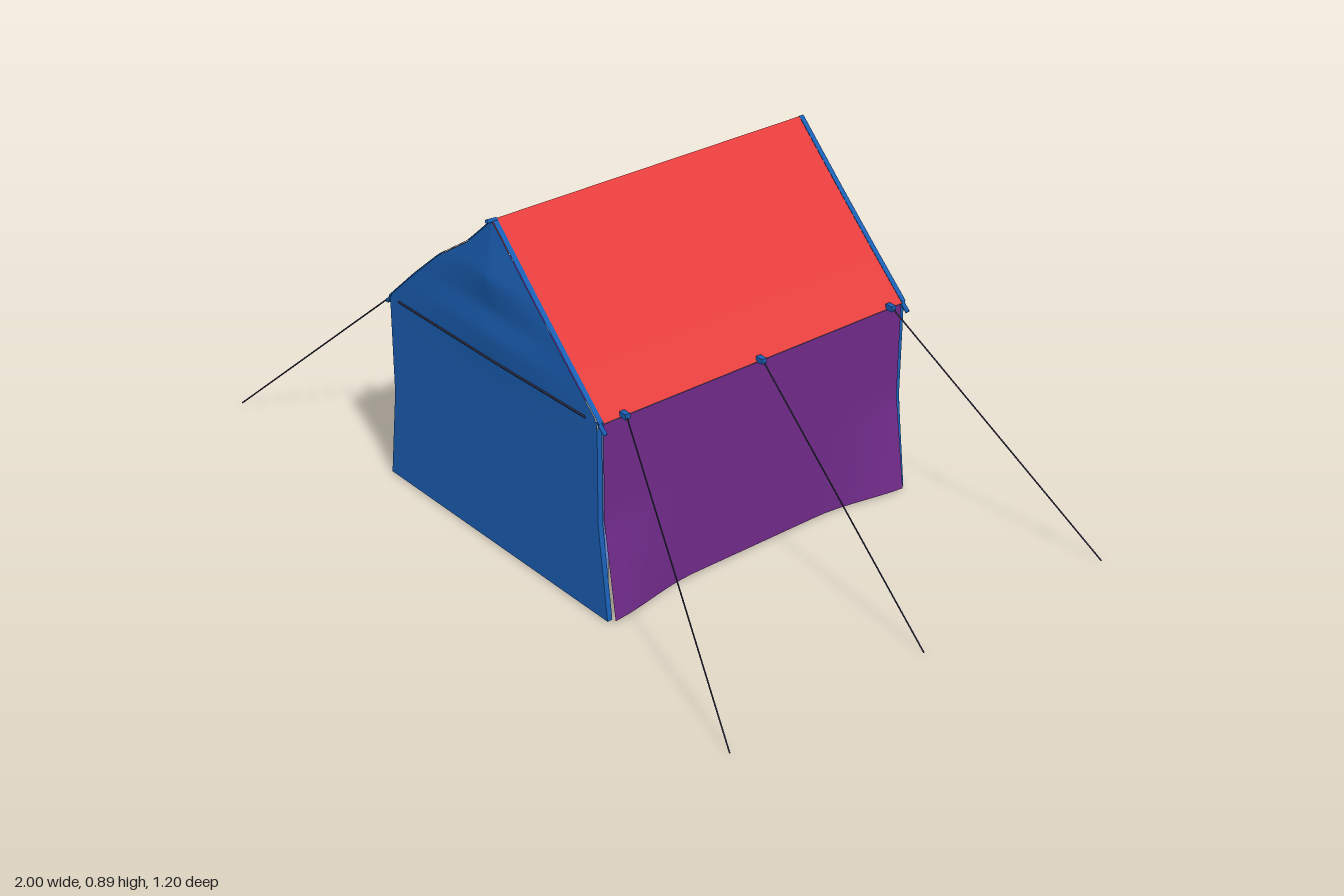
import * as THREE from 'three';
import { ParametricGeometry } from 'three/addons/geometries/ParametricGeometry.js';

const paint = (color) => new THREE.MeshStandardMaterial({ color, side: THREE.DoubleSide });
const BLUE = paint(0x1a5fb4), RED = paint(0xe53e3e), PURPLE = paint(0x6f2a88);
const POLE = paint(0x6f8fd8), CORD = paint(0x2c2c44);

const FRONT = 0.475, BACK = -0.46, EAVE = 0.515, RIDGE_X = 0.03, RIDGE_Y = 0.885;
// Roof and wall profiles as [x, y], from low to high
const WALL = [[0.442, 0.003], [0.41, 0.25], [0.41, EAVE]];
const ROOF_RIGHT = [[0.418, EAVE], [0.3, 0.625], [0.18, 0.739], [RIDGE_X, RIDGE_Y]];
const ROOF_LEFT = [[-0.418, EAVE], [-0.3, 0.622], [-0.19, 0.715], [-0.07, 0.795], [RIDGE_X, RIDGE_Y]];

// Piecewise linear lookup of x at height y
function xAt(points, y) {
  for (let i = 1; i < points.length; i++) {
    const [x0, y0] = points[i - 1], [x1, y1] = points[i];
    if (y <= y1 || i === points.length - 1) {
      const t = THREE.MathUtils.clamp((y - y0) / (y1 - y0), 0, 1);
      return x0 + (x1 - x0) * t;
    }
  }
}
// Piecewise linear value at position s in a list of [s, value]
const valueAt = (table, s) => xAt(table.map(([a, b]) => [b, a]), s);

function sheet(name, material, fn, nu, nv) {
  const geometry = new ParametricGeometry((u, v, p) => p.set(...fn(u, v)), nu, nv);
  geometry.computeVertexNormals();
  const mesh = new THREE.Mesh(geometry, material);
  mesh.name = name;
  return mesh;
}

function rod(name, material, a, b, radius) {
  const path = new THREE.LineCurve3(new THREE.Vector3(...a), new THREE.Vector3(...b));
  const mesh = new THREE.Mesh(new THREE.TubeGeometry(path, 1, radius, 6), material);
  mesh.name = name;
  return mesh;
}

// Left and right edge of an end panel at height y
const edges = (y) => y <= EAVE
  ? [-xAt(WALL, y), xAt(WALL, y)]
  : [xAt(ROOF_LEFT, y), xAt(ROOF_RIGHT, y)];

function endPanel(name, z0, dir, billow) {
  const group = new THREE.Group();
  group.name = name;
  const z = (x, y) => {
    const [l, r] = edges(y);
    const side = x < RIDGE_X ? (RIDGE_X - x) / (RIDGE_X - l) : (x - RIDGE_X) / (r - RIDGE_X);
    return z0 + dir * (0.014 + valueAt(billow, y) * Math.max(0, 1 - (side || 0)));
  };
  const point = (u, y) => {
    const [l, r] = edges(y);
    const x = l + (r - l) * u;
    return [x, y, z(x, y)];
  };
  // Upright cloth below the eaves, billowing cloth in the gable
  group.add(sheet('endWall', BLUE, (u, v) => point(u, 0.003 + (EAVE - 0.003) * v), 20, 12));
  group.add(sheet('gable', BLUE, (u, v) => point(u, EAVE + (RIDGE_Y - EAVE) * v), 20, 24));
  // Hem folded back along both outer edges
  for (const s of [0, 1]) {
    group.add(sheet('hem', BLUE, (u, v) => {
      const [x, y] = point(s, 0.003 + (RIDGE_Y - 0.003) * v);
      return [x, y + (y > EAVE ? 0.004 : 0), z0 + dir * 0.014 * u];
    }, 1, 48));
  }
  // Seam cord at eave height
  const half = dir > 0 ? 0.37 : 0.2;
  const seam = [-half, -half / 2, RIDGE_X, half / 2, half].map(
    (x) => new THREE.Vector3(x, 0.52, z(x, 0.52) + dir * 0.001));
  const cord = new THREE.Mesh(new THREE.TubeGeometry(new THREE.CatmullRomCurve3(seam), 16, 0.003, 5), CORD);
  cord.name = 'seamCord';
  group.add(cord);
  return group;
}

export function createModel() {
  const tent = new THREE.Group();
  tent.name = 'tent';

  // Cloth ends, each with its own billow as [height, depth]
  tent.add(endPanel('frontPanel', FRONT, 1,
    [[0, 0], [0.49, 0], [0.585, 0.011], [0.65, 0.003], [0.74, 0.02], [0.86, 0.003], [0.89, 0]]));
  tent.add(endPanel('backPanel', BACK, -1,
    [[0, 0], [0.4, 0.004], [0.5, 0.006], [0.58, 0.016], [0.65, 0.008], [0.74, 0.008], [0.84, 0.009], [0.89, 0]]));

  // Roof slopes
  for (const [name, profile] of [['leftRoof', ROOF_RIGHT], ['rightRoof', ROOF_LEFT]]) {
    tent.add(sheet(name, RED, (u, v) => {
      const y = EAVE + (RIDGE_Y - EAVE) * v;
      return [xAt(profile, y), y + 0.003, BACK + (FRONT - BACK) * u];
    }, 4, 24));
  }
  tent.add(rod('ridgePole', CORD, [RIDGE_X, RIDGE_Y - 0.004, BACK], [RIDGE_X, RIDGE_Y - 0.004, FRONT], 0.005));
  tent.add(rod('ridgeTip', BLUE, [RIDGE_X, RIDGE_Y, FRONT], [RIDGE_X, RIDGE_Y + 0.002, FRONT + 0.03], 0.005));

  for (const side of [-1, 1]) {
    // Side wall, flaring outward near its lower corners
    tent.add(sheet(side > 0 ? 'leftWall' : 'rightWall', PURPLE, (u, v) => {
      const y = 0.005 + (EAVE - 0.005) * v, z = BACK + (FRONT - BACK) * u;
      const flare = THREE.MathUtils.smoothstep(Math.abs(z), 0.2, 0.5) * 1.15;
      return [side * (0.415 + 0.036 * flare * Math.max(0, 1 - y / 0.26)), y, z];
    }, 24, 12));

    // Frame: eave pole and upright poles inside the cloth
    tent.add(rod('eavePole', POLE, [side * 0.405, EAVE - 0.01, BACK], [side * 0.405, EAVE - 0.01, FRONT], 0.005));
    for (const z of [BACK + 0.01, 0.01, FRONT - 0.01]) {
      tent.add(rod('uprightPole', POLE, [side * 0.405, 0.005, z], [side * 0.405, EAVE, z], 0.008));
    }

    // Guy lines with their buckles
    for (const [z, pegZ] of [[0.42, 0.597], [0.008, 0.008], [-0.415, -0.597]]) {
      const buckle = new THREE.Mesh(new THREE.BoxGeometry(0.022, 0.014, 0.014), BLUE);
      buckle.name = 'buckle';
      buckle.position.set(side * 0.424, 0.524, z);
      tent.add(buckle);
      tent.add(rod('guyLine', CORD, [side * 0.43, 0.524, z], [side * 0.998, 0.002, pegZ], 0.002));
    }

    // Turned-down cloth tips at the eave corners
    for (const z of [BACK - 0.007, FRONT + 0.007]) {
      tent.add(rod('eaveTip', BLUE, [side * 0.405, EAVE + 0.006, z], [side * 0.432, EAVE - 0.018, z], 0.006));
    }
  }
  return tent;
}
